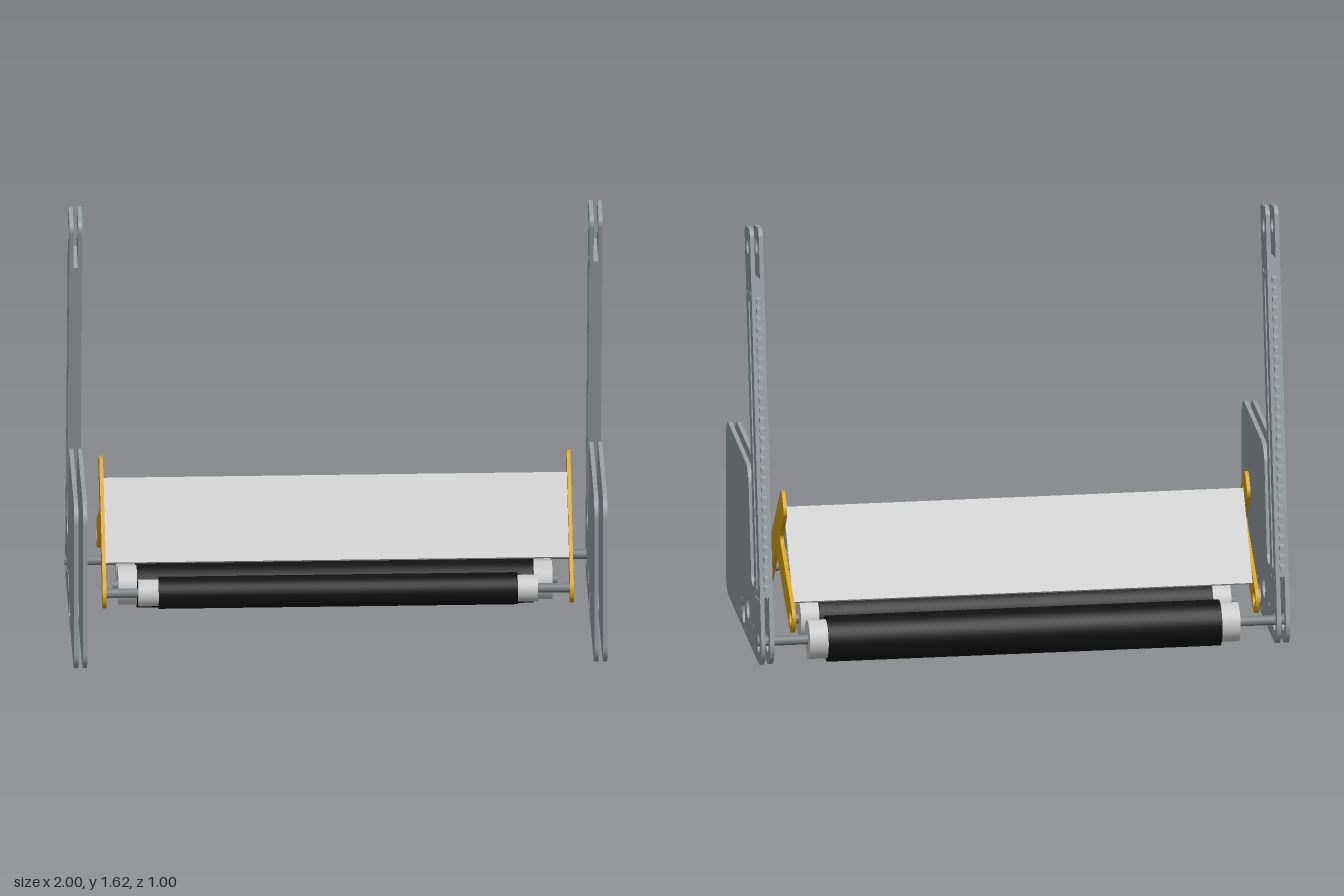
import * as THREE from 'three';

const mat = (color) => new THREE.MeshStandardMaterial({ color });
const steel = mat(0x9aa1a5), yellow = mat(0xdaa514), black = mat(0x111111);
const light = mat(0xcccccc), axleGrey = mat(0x7c8286);

// Traces a polygon of [z, y, radius] corners with true arcs at rounded corners
function rounded(pts) {
  const s = new THREE.Shape();
  pts.forEach(([x, y, r = 0], i) => {
    const p = new THREE.Vector2(x, y);
    const toward = (q) => new THREE.Vector2(q[0], q[1]).sub(p).normalize();
    const a = toward(pts[(i + pts.length - 1) % pts.length]);
    const b = toward(pts[(i + 1) % pts.length]);
    if (!r) {
      if (i) s.lineTo(x, y); else s.moveTo(x, y);
      return;
    }
    const h = Math.acos(a.dot(b)) / 2, t = r / Math.tan(h);
    const c = a.clone().add(b).normalize().multiplyScalar(r / Math.sin(h)).add(p);
    const angle = (d) => Math.atan2(p.y + d.y * t - c.y, p.x + d.x * t - c.x);
    s.absarc(c.x, c.y, r, angle(a), angle(b), a.cross(b) > 0);
  });
  s.closePath();
  return s;
}

const hole = (z, y, r) => new THREE.Path().absarc(z, y, r, 0, Math.PI * 2, true);

// Long slot that runs up the leaning arm
function armSlot() {
  const top = [-0.153, 1.33], low = [-0.371, 0.295], r = 0.018;
  const f = Math.atan2(top[1] - low[1], top[0] - low[0]), q = Math.PI / 2;
  const p = new THREE.Path();
  p.absarc(top[0], top[1], r, f - q, f + q, false);
  p.absarc(low[0], low[1], r, f + q, f + 3 * q, false);
  p.closePath();
  return p;
}

// Extrudes a (z, y) shape along x, centred on x = 0
function slab(shape, thickness) {
  const g = new THREE.ExtrudeGeometry(shape, { depth: thickness, bevelEnabled: false, curveSegments: 20 });
  return g.translate(0, 0, -thickness / 2).rotateY(-Math.PI / 2);
}

// Edges of the leaning arm: z at a given height
const armFront = (y) => -0.018 + 0.2126 * (y - 1.6);
const armBack = (y) => -0.494 + 0.2126 * (y - 0.096);

function sidePlateShape() {
  const s = rounded([
    [0.5, 0, 0.08], [0.5, 0.675, 0.08], [-0.125, 0.675, 0.08],
    [-0.214, 0.255, 0.038], [armFront(0.255), 0.255, 0.038],
    [-0.02, 1.595, 0.035], [-0.168, 1.627, 0.035], [armBack(0), 0, 0.085],
  ]);
  s.holes.push(armSlot());
  [
    [-0.109, 1.54, 0.031], [-0.41, 0.085, 0.04], [0, 0.068, 0.04], [-0.122, 0.125, 0.04],
    [-0.113, 1.365, 0.009], [-0.177, 1.378, 0.009], [-0.344, 0.241, 0.009], [-0.408, 0.254, 0.009],
    [0.045, 0.113, 0.007], [0.066, 0.066, 0.007], [-0.049, 0.019, 0.007], [-0.267, 0.105, 0.009],
  ].forEach((h) => s.holes.push(hole(...h)));
  return s;
}

// Toothed spacer sandwiched between the two plates of an arm
function rackShape() {
  const pts = [[armBack(0.27), 0.27], [armFront(0.24), 0.24], [armFront(1.41), 1.41], [armBack(1.44), 1.44]];
  const pitch = 0.0365, out = 0.02;
  for (let i = 0; i < 30; i++) {
    const y = 1.375 - i * pitch, y2 = y - pitch * 0.5;
    pts.push([armBack(y), y], [armBack(y) - out, y - 0.004], [armBack(y2) - out, y2 - 0.004], [armBack(y2), y2]);
  }
  const s = rounded(pts);
  s.holes.push(armSlot());
  return s;
}

// Forked bracket: front foot, top lobe and back foot
function bracketShape() {
  const s = rounded([
    [0.248, 0.189, 0.053], [-0.184, 0.613, 0.035], [-0.263, 0.536, 0.035], [-0.145, 0.4, 0.02],
    [-0.514, 0.209, 0.053], [-0.465, 0.111, 0.053], [-0.04, 0.325, 0.03], [0.169, 0.112, 0.053],
  ]);
  s.holes.push(hole(-0.44, 0.185, 0.03), hole(0.17, 0.19, 0.018));
  return s;
}

// Roller: sleeve, lighter end caps and an axle, all lying along x
function roller(name, y, z, sleeve, cap, axle) {
  const g = new THREE.Group();
  g.name = name;
  [['Sleeve', sleeve, black], ['Caps', cap, light], ['Axle', axle, axleGrey]].forEach(([part, [r, half], m]) => {
    const mesh = new THREE.Mesh(new THREE.CylinderGeometry(r, r, half * 2, 40).rotateZ(Math.PI / 2), m);
    mesh.name = name + part;
    g.add(mesh);
  });
  g.position.set(0, y, z);
  return g;
}

export function createModel() {
  const model = new THREE.Group();
  model.name = 'rollerFrame';
  const add = (name, geometry, material, x = 0) => {
    const mesh = new THREE.Mesh(geometry, material);
    mesh.name = name;
    mesh.position.x = x;
    model.add(mesh);
  };

  // Side frames and brackets, mirrored left and right
  const plate = slab(sidePlateShape(), 0.016);
  const rack = slab(rackShape(), 0.018);
  const bracket = slab(bracketShape(), 0.014);
  for (const [side, sx] of [['left', 1], ['right', -1]]) {
    add(side + 'InnerPlate', plate, steel, sx * 0.954);
    add(side + 'OuterPlate', plate, steel, sx * 0.987);
    add(side + 'ToothedRack', rack, steel, sx * 0.9705);
    add(side + 'Bracket', bracket, yellow, sx * 0.872);
  }

  // Folded cover sheet between the brackets
  const cover = rounded([
    [0.1, 0.285], [-0.15, 0.525], [-0.41, 0.235], [-0.403, 0.228], [-0.15, 0.511], [0.094, 0.278],
  ]);
  add('coverSheet', slab(cover, 1.73), light);

  // Rollers
  model.add(roller('backRoller', 0.086, -0.41, [0.086, 0.74], [0.073, 0.81], [0.018, 1.0]));
  model.add(roller('middleRoller', 0.088, -0.16, [0.086, 0.74], [0.073, 0.81], [0.018, 0.83]));
  model.add(roller('frontRoller', 0.19, 0.17, [0.06, 0.67], [0.05, 0.745], [0.018, 0.878]));

  return model;
}
